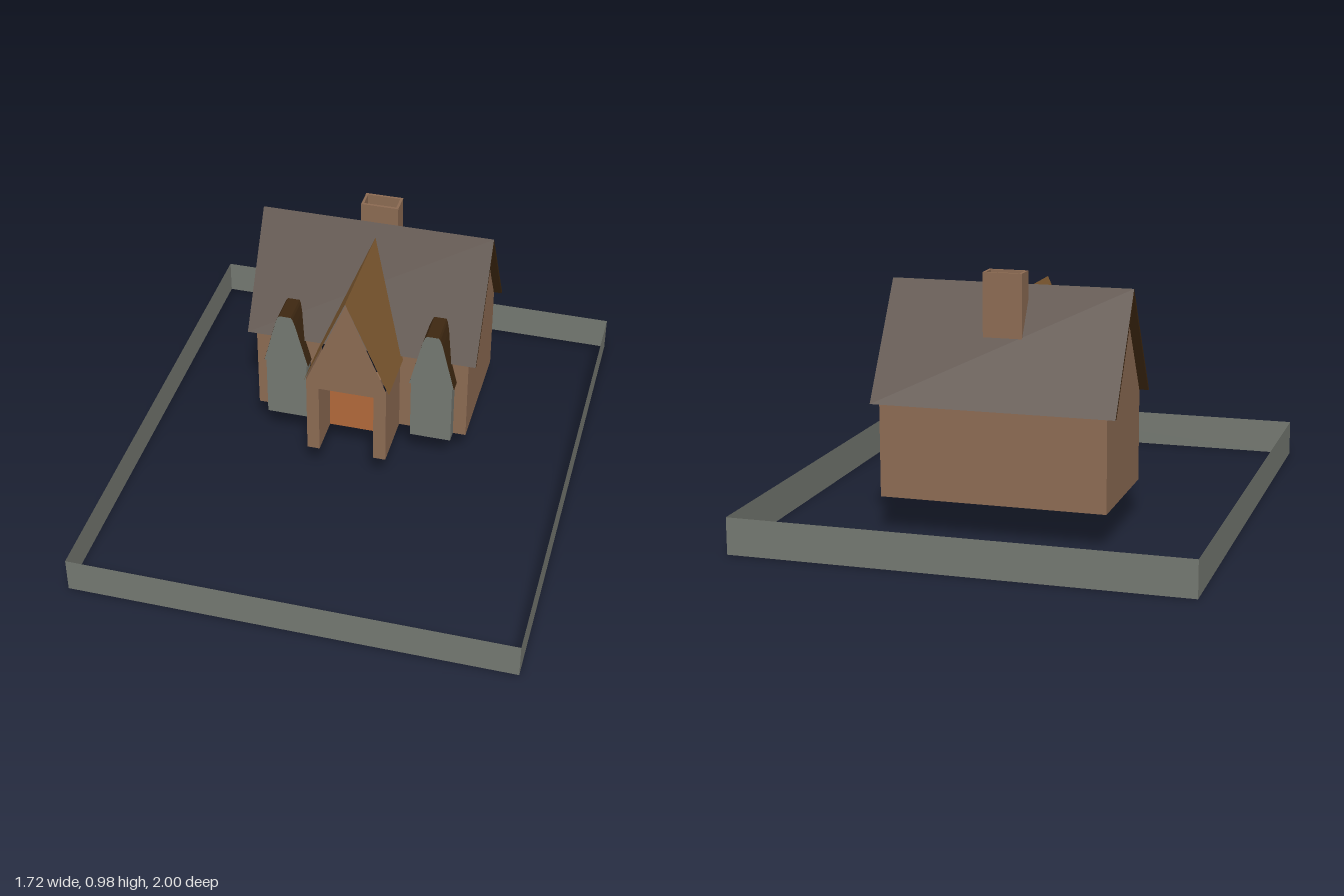
import * as THREE from 'three';

const flat = (name, color) => {
  const m = new THREE.MeshStandardMaterial({ color, side: THREE.DoubleSide });
  m.name = name;
  return m;
};

// One mesh made of flat convex polygons, corners counter-clockwise from outside
function panels(name, material, polygons) {
  const pos = [];
  for (const p of polygons)
    for (let i = 1; i < p.length - 1; i++) pos.push(...p[0], ...p[i], ...p[i + 1]);
  const g = new THREE.BufferGeometry();
  g.setAttribute('position', new THREE.Float32BufferAttribute(pos, 3));
  g.computeVertexNormals();
  const mesh = new THREE.Mesh(g, material);
  mesh.name = name;
  return mesh;
}

// Upright wall facing +z
const facing = (x0, x1, y0, y1, z) => [[x0, y0, z], [x1, y0, z], [x1, y1, z], [x0, y1, z]];
// Four upright sides of an open box
const ring = (x0, x1, y0, y1, z0, z1) => [
  facing(x0, x1, y0, y1, z1),
  facing(x1, x0, y0, y1, z0),
  [[x1, y0, z1], [x1, y0, z0], [x1, y1, z0], [x1, y1, z1]],
  [[x0, y0, z0], [x0, y0, z1], [x0, y1, z1], [x0, y1, z0]],
];

export function createModel() {
  const brown = flat('wall brown', 0x8b6a52);
  const grey = flat('stone grey', 0x737770);
  const dark = flat('roof dark brown', 0x3d2711);
  const tan = flat('porch roof brown', 0x7f5a31);
  const orange = flat('door orange', 0xb0683a);
  const house = new THREE.Group();
  house.name = 'house';
  const G = 0.14; // ground level of the house

  // Boundary wall around the plot
  house.add(panels('boundaryWall', grey, ring(-0.86, 0.86, 0, G, -1, 1)));

  // Gabled main walls, open behind the porch and the bays
  const L = -0.44, R = 0.425, F = -0.09, B = -0.59, top = 0.495, mid = -0.343;
  house.add(panels('mainWalls', brown, [
    facing(R, L, G, top, B),
    [[R, G, F], [R, G, B], [R, top, B], [R, 0.9, mid], [R, top, F]],
    [[L, G, B], [L, G, F], [L, top, F], [L, 0.9, mid], [L, top, B]],
    facing(L, -0.39, G, top, F), facing(-0.22, -0.17, G, top, F),
    facing(0.15, 0.205, G, top, F), facing(0.37, R, G, top, F),
    facing(-0.39, -0.22, 0.4, top, F), facing(0.205, 0.37, 0.4, top, F),
  ]));

  // Main roof: a thin chevron extruded along x
  const chevron = new THREE.Shape([[0.08, 0.495], [0.345, 0.925], [0.61, 0.495],
    [0.597, 0.495], [0.345, 0.904], [0.093, 0.495]].map(p => new THREE.Vector2(...p)));
  const roof = new THREE.Mesh(
    new THREE.ExtrudeGeometry(chevron, { depth: 0.93, bevelEnabled: false }), dark);
  roof.name = 'mainRoof';
  roof.rotation.y = Math.PI / 2;
  roof.position.x = -0.475;
  house.add(roof);

  // Chimney: double-walled shaft with a sunken cap
  const lid = 0.93;
  house.add(panels('chimney', brown, [
    ...ring(-0.085, 0.065, 0.68, 0.98, -0.46, -0.377),
    ...ring(0.055, -0.075, lid, 0.98, -0.387, -0.45),
    [[-0.085, 0.98, -0.377], [0.065, 0.98, -0.377], [0.055, 0.98, -0.387], [-0.075, 0.98, -0.387]],
    [[-0.075, 0.98, -0.45], [0.055, 0.98, -0.45], [0.065, 0.98, -0.46], [-0.085, 0.98, -0.46]],
    [[-0.085, 0.98, -0.46], [-0.085, 0.98, -0.377], [-0.075, 0.98, -0.387], [-0.075, 0.98, -0.45]],
    [[0.055, 0.98, -0.45], [0.055, 0.98, -0.387], [0.065, 0.98, -0.377], [0.065, 0.98, -0.46]],
  ]));
  house.add(panels('chimneyCap', tan, [
    [[-0.075, lid, -0.387], [0.055, lid, -0.387], [0.055, lid, -0.45], [-0.075, lid, -0.45]],
  ]));

  // Porch: gabled front with a deep doorway
  const pf = 0.14, dz = -0.02, dl = -0.12, dr = 0.1, dt = 0.445, pl = -0.17, pr = 0.15, cx = -0.01;
  const front = new THREE.Shape([[pl, G], [dl, G], [dl, dt], [dr, dt], [dr, G], [pr, G],
    [pr, 0.48], [cx, 0.865], [pl, 0.48]].map(p => new THREE.Vector2(...p)));
  const porchFront = new THREE.Mesh(new THREE.ShapeGeometry(front), brown);
  porchFront.name = 'porchFront';
  porchFront.position.z = pf;
  house.add(porchFront);
  house.add(panels('porchSides', brown, [
    [[pr, G, pf], [pr, G, F], [pr, 0.49, F], [pr, 0.49, pf]],
    [[pl, G, F], [pl, G, pf], [pl, 0.49, pf], [pl, 0.49, F]],
    [[dl, G, pf], [dl, G, dz], [dl, dt, dz], [dl, dt, pf]],
    [[dr, G, dz], [dr, G, pf], [dr, dt, pf], [dr, dt, dz]],
    [[dl, dt, dz], [dr, dt, dz], [dr, dt, pf], [dl, dt, pf]],
  ]));
  house.add(panels('door', orange, [facing(dl, dr, G, dt, dz)]));

  // Porch roof, running back into the main roof
  const pz = 0.147, ridge = 0.875, eave = 0.475;
  house.add(panels('porchRoof', tan, [
    [[0.163, eave, pz], [0.163, eave, -0.085], [cx, ridge, -0.314], [cx, ridge, pz]],
    [[-0.18, eave, -0.085], [-0.18, eave, pz], [cx, ridge, pz], [cx, ridge, -0.314]],
  ]));

  // Two stone bays with narrow tapering roofs
  for (const [side, c, h] of [['right', -0.305, 0.63], ['left', 0.29, 0.643]]) {
    const z = -0.04, w = 0.083;
    const outline = [[0.091, 0.4], [0.04, h - 0.035], [0.03, h - 0.008], [0.024, h]];
    const arc = [...outline, ...outline.map(([x, y]) => [-x, y]).reverse()].map(([x, y]) => [c + x, y]);
    house.add(panels(side + 'Bay', grey, [
      facing(c - w, c + w, G, 0.4, z),
      arc.map(([x, y]) => [x, y, z]),
      [[c + w, G, z], [c + w, G, F], [c + w, 0.4, F], [c + w, 0.4, z]],
      [[c - w, G, F], [c - w, G, z], [c - w, 0.4, z], [c - w, 0.4, F]],
    ]));
    // Each roof strip stops just below the slope of the main roof
    const back = y => Math.min(F, -0.085 - (y - 0.495) * 0.616);
    house.add(panels(side + 'BayRoof', dark, arc.slice(1).map(([x, y], i) => {
      const [px, py] = arc[i];
      return [[px, py, z + 0.003], [px, py, back(py)], [x, y, back(y)], [x, y, z + 0.003]];
    })));
  }
  return house;
}
